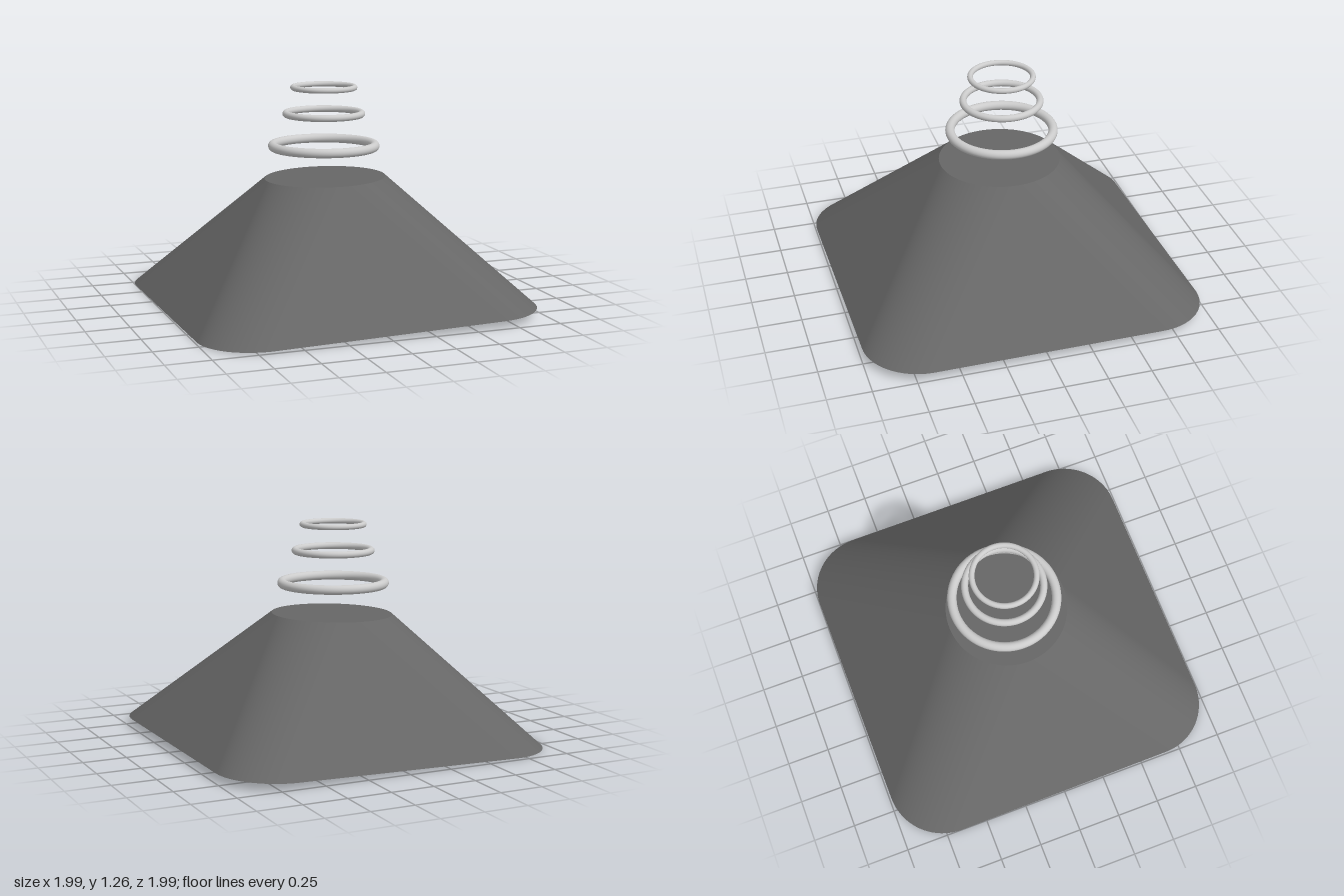
import * as THREE from 'three';

const HALF = 0.992, CORNER = 0.33, TOP_R = 0.352, HEIGHT = 0.7, STEPS = 20;

// Loft from a rounded square up to a circle, with flat caps
function loftGeometry() {
  const pos = [], nor = [], idx = [];
  const add = (x, y, z, nx, ny, nz) => {
    pos.push(x, y, z);
    nor.push(nx, ny, nz);
    return pos.length / 3 - 1;
  };
  const ring = [];
  for (let k = 0; k < 4; k++) {
    const mid = (k + 0.5) * Math.PI / 2;
    const cx = Math.sign(Math.cos(mid)) * (HALF - CORNER);
    const cz = Math.sign(Math.sin(mid)) * (HALF - CORNER);
    for (let j = 0; j <= STEPS; j++) {
      const t = (k + j / STEPS) * Math.PI / 2, c = Math.cos(t), s = Math.sin(t);
      const run = cx * c + cz * s + CORNER - TOP_R;
      const n = new THREE.Vector3(c * HEIGHT, run, s * HEIGHT).normalize();
      const b = [cx + CORNER * c, 0, cz + CORNER * s];
      const u = [TOP_R * c, HEIGHT, TOP_R * s];
      ring.push({
        b: add(...b, n.x, n.y, n.z), u: add(...u, n.x, n.y, n.z),
        capB: add(...b, 0, -1, 0), capU: add(...u, 0, 1, 0), last: j === STEPS,
      });
    }
  }
  const midB = add(0, 0, 0, 0, -1, 0), midU = add(0, HEIGHT, 0, 0, 1, 0);
  ring.forEach((p, i) => {
    const q = ring[(i + 1) % ring.length];
    idx.push(p.b, p.u, q.b, midB, p.capB, q.capB);
    // the flat sides narrow to a point at the top circle
    if (!p.last) idx.push(q.b, p.u, q.u, midU, q.capU, p.capU);
  });
  const g = new THREE.BufferGeometry();
  g.setAttribute('position', new THREE.Float32BufferAttribute(pos, 3));
  g.setAttribute('normal', new THREE.Float32BufferAttribute(nor, 3));
  g.setIndex(idx);
  return g;
}

export function createModel() {
  const model = new THREE.Group();
  model.name = 'model';

  // Slightly tilted tapered base
  const dark = new THREE.MeshStandardMaterial({ color: 0x666666 });
  const base = new THREE.Mesh(loftGeometry(), dark);
  base.name = 'taperedBase';
  base.position.set(-0.003, 0.027, -0.002);
  base.rotation.set(-0.002, 0.0075, 0.0225);
  model.add(base);

  // Floating rings: [height, outer radius, tube radius]
  const grey = new THREE.MeshStandardMaterial({ color: 0xcccccc });
  [[0.907, 0.324, 0.027], [1.095, 0.24, 0.02], [1.247, 0.194, 0.016]].forEach(([y, r, tube], i) => {
    const ring = new THREE.Mesh(new THREE.TorusGeometry(r - tube, tube, 20, 72), grey);
    ring.name = `ring${i + 1}`;
    ring.rotation.x = Math.PI / 2;
    ring.position.set(-0.02, y, -0.017);
    model.add(ring);
  });
  return model;
}
